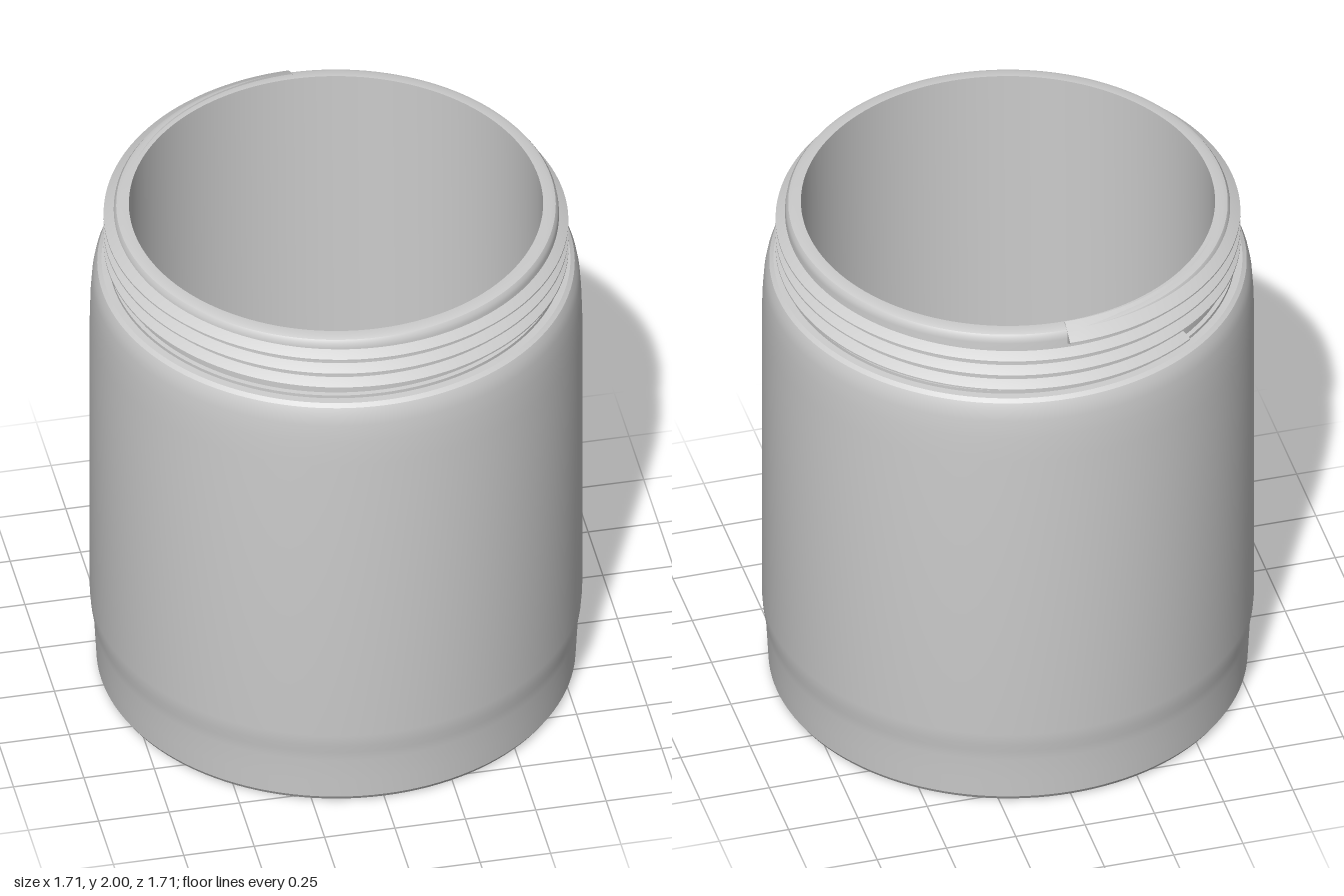
import * as THREE from 'three';
import { toCreasedNormals } from 'three/addons/utils/BufferGeometryUtils.js';

const material = new THREE.MeshStandardMaterial({ color: 0xcccccc, side: THREE.DoubleSide });

// Elliptical dome of the hollow underside, from the centre to its edge
function dome(radius, edgeY, rise, steps = 16) {
  return Array.from({ length: steps + 1 }, (_, i) => {
    const a = (i / steps) * Math.PI / 2;
    return [radius * Math.sin(a), edgeY + rise * Math.cos(a)];
  });
}

// Jar wall: underside, outside, rim, inside and floor in one closed profile
function jarBody() {
  const profile = [
    ...dome(0.75, 0.0, 0.45),
    // foot and lower band
    [0.805, 0], [0.822, 0.008], [0.833, 0.025], [0.837, 0.1], [0.842, 0.19],
    [0.846, 0.23], [0.852, 0.26], [0.856, 0.31],
    // straight side and rounded shoulder
    [0.856, 1.5], [0.853, 1.6], [0.848, 1.67], [0.841, 1.71], [0.83, 1.735], [0.815, 1.746],
    // collar and neck
    [0.79, 1.748], [0.79, 1.76], [0.775, 1.762], [0.775, 1.955],
    // rounded rim
    [0.772, 1.973], [0.764, 1.985], [0.75, 1.99], [0.72, 1.99],
    // inner wall down to the gently crowned floor
    [0.72, 0.49], [0.54, 0.503], [0.36, 0.512], [0.18, 0.518], [0, 0.52],
  ].map(([r, y]) => new THREE.Vector2(r, y));
  return toCreasedNormals(new THREE.LatheGeometry(profile, 128), 0.5);
}

// Screw thread: a ridge section swept down a helix, with flat ends
function screwThread(turns, lead, topY) {
  const section = [[0.735, 0.043], [0.774, 0.024], [0.808, 0.003], [0.808, -0.003], [0.774, -0.024], [0.745, -0.024]];
  const n = section.length;
  const steps = Math.round(turns * 128);
  const position = [];
  const index = [];
  for (let i = 0; i <= steps; i++) {
    const t = (i / steps) * turns * Math.PI * 2;
    for (const [r, h] of section) {
      position.push(-r * Math.sin(t), topY + h - (lead * t) / (Math.PI * 2), -r * Math.cos(t));
    }
  }
  for (let i = 0; i < steps; i++) {
    for (let j = 0; j < n - 1; j++) {
      const a = i * n + j;
      index.push(a, a + 1, a + n, a + 1, a + n + 1, a + n);
    }
  }
  for (let j = 1; j < n - 1; j++) {
    const end = steps * n;
    index.push(0, j + 1, j, end, end + j, end + j + 1);
  }
  const geometry = new THREE.BufferGeometry();
  geometry.setAttribute('position', new THREE.Float32BufferAttribute(position, 3));
  geometry.setIndex(index);
  return toCreasedNormals(geometry, 0.4);
}

export function createModel() {
  const jar = new THREE.Group();
  jar.name = 'jar';
  const parts = {
    jarBody: jarBody(),
    screwThread: screwThread(3.1, 0.061, 1.957),
  };
  for (const [name, geometry] of Object.entries(parts)) {
    const mesh = new THREE.Mesh(geometry, material);
    mesh.name = name;
    jar.add(mesh);
  }
  return jar;
}
